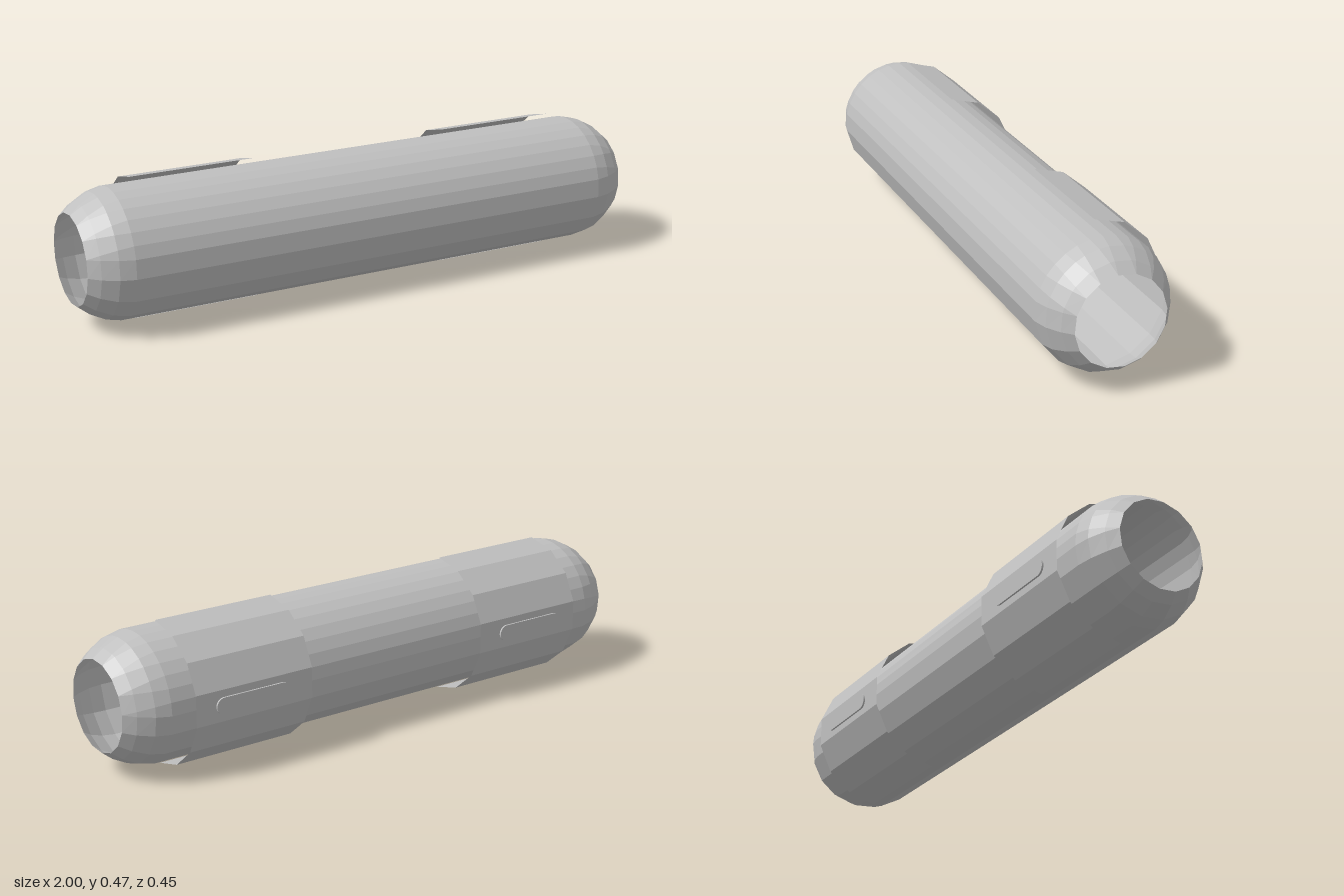
import * as THREE from 'three';

const CY = 0.2375, CZ = 0.0115; // axis of the tube
const rad = THREE.MathUtils.degToRad;

// Skin between cross-sections along x; each ring is { x, r, angles }, angles in degrees from +z towards +y
function loft(rings, closed) {
  const n = rings[0].angles.length;
  const points = [], index = [];
  for (const { x, r, angles } of rings) {
    for (const a of angles) points.push(x, CY + r * Math.sin(rad(a)), CZ + r * Math.cos(rad(a)));
  }
  for (let i = 0; i < rings.length - 1; i++) {
    for (let j = 0; j < (closed ? n : n - 1); j++) {
      const a = i * n + j, d = i * n + (j + 1) % n;
      index.push(a, a + n, d + n, a, d + n, d);
    }
  }
  const geometry = new THREE.BufferGeometry();
  geometry.setAttribute('position', new THREE.Float32BufferAttribute(points, 3));
  geometry.setIndex(index);
  geometry.computeVertexNormals();
  return geometry;
}

// Sixteen sides, with the corners of the upper half split in two
function tubeAngles(spread) {
  const angles = [];
  for (let k = 0; k < 16; k++) {
    const a = -5.6 + 22.5 * k;
    if (k >= 1 && k <= 8) angles.push(a - spread, a + spread);
    else angles.push(a);
  }
  return angles;
}

export function createModel() {
  const group = new THREE.Group();
  const grey = new THREE.MeshStandardMaterial({ color: 0xbfbfbf, flatShading: true, side: THREE.DoubleSide });
  grey.name = 'lightGrey';

  const add = (name, geometry) => {
    const mesh = new THREE.Mesh(geometry, grey);
    mesh.name = name;
    group.add(mesh);
    return mesh;
  };

  // Hollow tube with rounded, open ends: x, radius, corner split
  const end = [[0.865, 0.2155, 5.625], [0.915, 0.204, 4.5], [0.965, 0.178, 2.5], [1, 0.15, 0]];
  const profile = [...end.map(([x, r, s]) => [-x, r, s]).reverse(), ...end];
  add('tube', loft(profile.map(([x, r, s]) => ({ x, r, angles: tubeAngles(s) })), true));

  // Half-round sleeves behind the tube, each with a raised pill-shaped tab
  const sleeveAngles = Array.from({ length: 8 }, (_, i) => 92 + 176 * i / 7);
  const half = 0.11, r = 0.0275;
  const pill = new THREE.Shape();
  pill.absarc(half, 0, r, -Math.PI / 2, Math.PI / 2, false);
  pill.absarc(-half, 0, r, Math.PI / 2, Math.PI * 1.5, false);

  for (const [side, sign] of [['left', 1], ['right', -1]]) {
    const ends = [0.355 * sign, 0.79 * sign].sort((a, b) => a - b);
    add(side + 'Sleeve', loft(ends.map(x => ({ x, r: 0.2375, angles: sleeveAngles })), false));

    const tab = add(side + 'Tab', new THREE.ExtrudeGeometry(pill, { depth: 0.006, bevelEnabled: false, curveSegments: 8 }));
    tab.position.set(0.58 * sign, CY, -0.2262);
  }
  return group;
}
